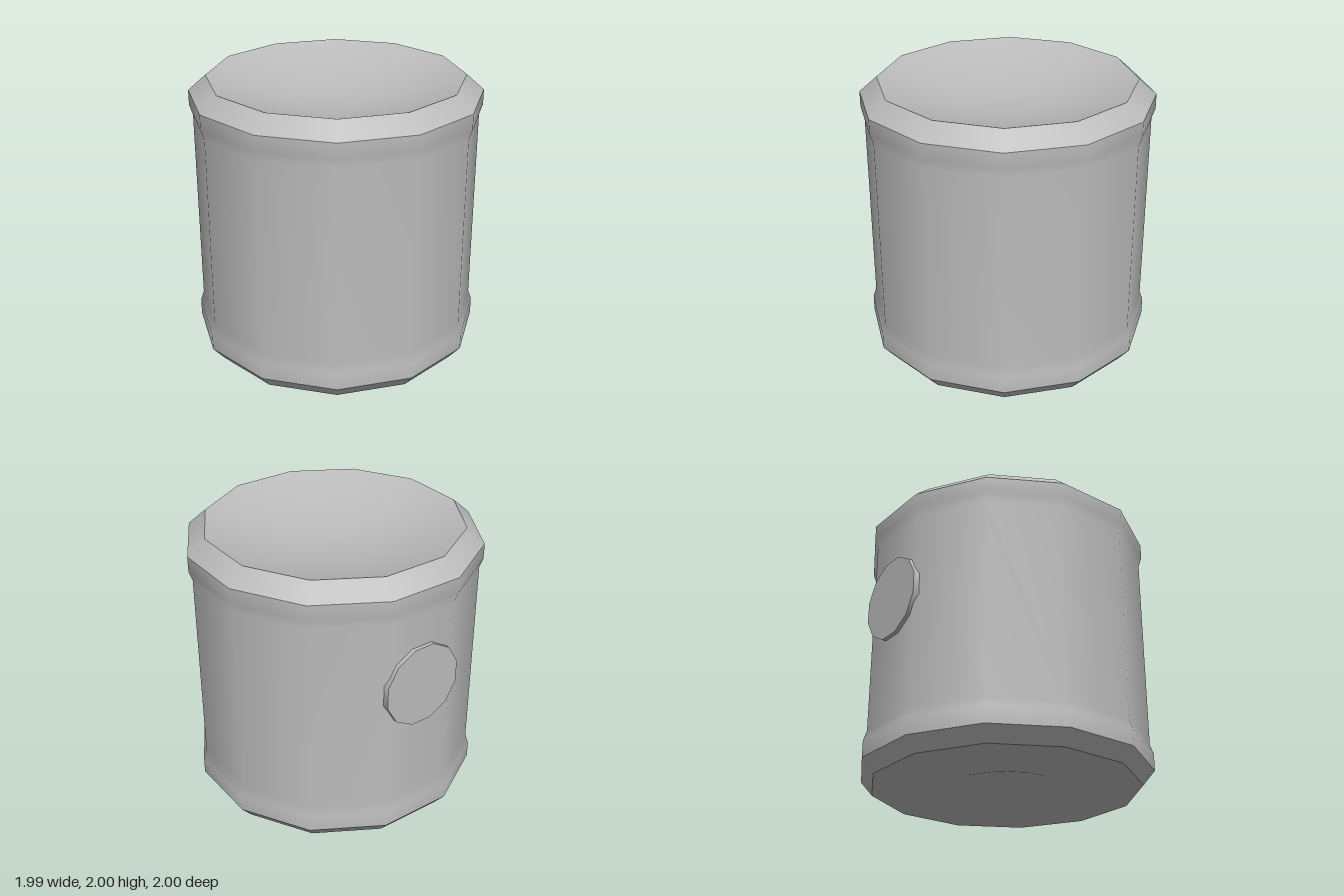
import * as THREE from 'three';

const SIDES = 12;
const TURN = Math.PI / SIDES;

export function createModel() {
  const model = new THREE.Group();
  model.name = 'drum';
  const grey = new THREE.MeshStandardMaterial({ color: 0xbcbcbc });
  grey.name = 'grey';

  // Twelve-sided ring surface; profile is [distance to flat side, height]
  function ring(name, profile) {
    const points = profile.map(([d, y]) => new THREE.Vector2(d / Math.cos(TURN), y));
    const mesh = new THREE.Mesh(new THREE.LatheGeometry(points, SIDES, TURN), grey);
    mesh.name = name;
    model.add(mesh);
  }

  // Bowl profile from radius r at height y, sinking or rising by depth at the centre
  function bowl(r, y, depth, steps) {
    const profile = [];
    for (let i = 0; i <= steps; i++) {
      const t = 1 - i / steps;
      profile.push([r * t, y + depth * (1 - t * t)]);
    }
    return profile;
  }

  // Waisted wall with a raised band at each end
  ring('wall', [[0.995, 0.1], [0.995, 0.22], [0.972, 0.29], [0.972, 1.71], [0.995, 1.78], [0.995, 1.89]]);

  // Bevelled edges
  ring('topBevel', [[0.995, 1.89], [0.875, 2]]);
  ring('bottomBevel', [[0.915, 0], [0.995, 0.1]]);

  // Dished top
  ring('topDish', bowl(0.875, 2, -0.17, 5));

  // Flat underside with a shallow central dimple
  ring('underside', [[0.4, 0], [0.915, 0]]);
  ring('undersideDimple', bowl(0.4, 0, 0.06, 3).reverse());

  // Round plate on the back
  const plate = new THREE.Mesh(
    new THREE.CylinderGeometry(0.3, 0.3, 0.06, SIDES, 1, false, TURN), grey);
  plate.name = 'backPlate';
  plate.rotation.x = -Math.PI / 2;
  plate.position.set(0, 1.18, -0.97);
  model.add(plate);

  return model;
}
